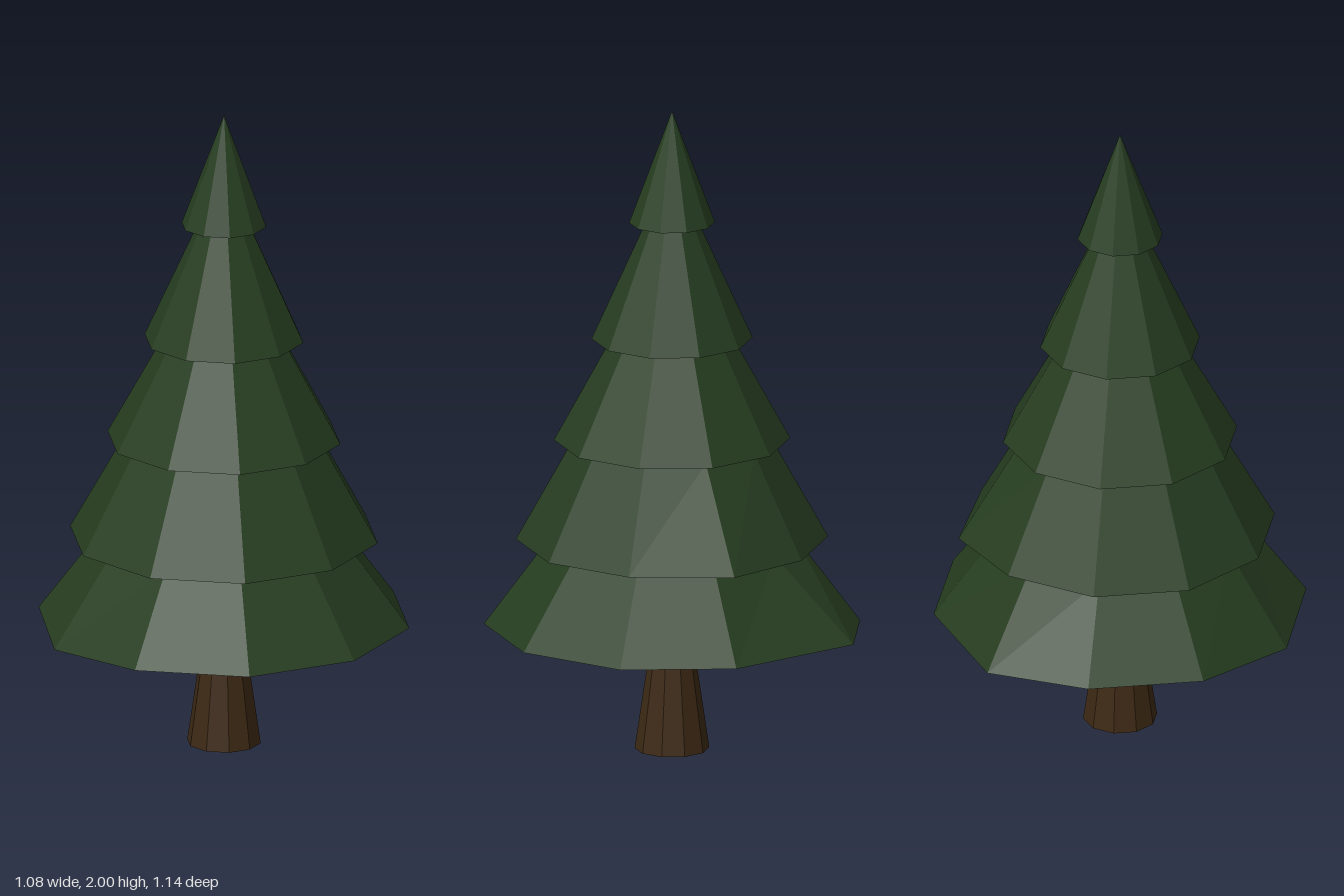
import * as THREE from 'three';

const SIDES = 10;

// Point number i of a ten-sided ring; point 0 faces +z
function ringPoint(i, radius, y) {
  const a = (i / SIDES) * Math.PI * 2;
  return [Math.sin(a) * radius, y, Math.cos(a) * radius];
}

// Flat-based skirt: sloping sides plus an underside fanned from the back point
function tierGeometry({ y, r, topY, topR, nudges = {} }) {
  const low = [], high = [], pos = [];
  for (let i = 0; i < SIDES; i++) {
    const d = nudges[i] || [0, 0, 0];
    low.push(ringPoint(i, r, y).map((v, k) => v + d[k]));
    high.push(ringPoint(i, topR, topY));
  }
  const root = SIDES / 2;
  for (let i = 0; i < SIDES; i++) {
    const j = (i + 1) % SIDES;
    pos.push(...low[i], ...low[j], ...high[j]);
    if (topR > 0) pos.push(...low[i], ...high[j], ...high[i]);
    if (i !== root && j !== root) pos.push(...low[root], ...low[j], ...low[i]);
  }
  const g = new THREE.BufferGeometry();
  g.setAttribute('position', new THREE.Float32BufferAttribute(pos, 3));
  g.computeVertexNormals();
  return g;
}

export function createModel() {
  const tree = new THREE.Group();
  tree.name = 'pineTree';
  const green = new THREE.MeshStandardMaterial({ color: 0x263d20, flatShading: true });
  const brown = new THREE.MeshStandardMaterial({ color: 0x3d2914, flatShading: true });

  // Tapered trunk
  const trunk = new THREE.Mesh(new THREE.CylinderGeometry(0.055, 0.113, 0.4, SIDES), brown);
  trunk.position.y = 0.2;
  trunk.name = 'trunk';
  tree.add(trunk);

  // Branch tiers from bottom to top, a few rim points pulled out of line
  const tiers = [
    { y: 0.395, r: 0.57, topY: 0.66, topR: 0.373,
      nudges: { 6: [-0.08, 0.01, -0.005], 9: [0, -0.02, 0] } },
    { y: 0.66, r: 0.473, topY: 0.97, topR: 0.3, nudges: { 5: [-0.02, 0, -0.024] } },
    { y: 0.97, r: 0.358, topY: 1.287, topR: 0.184 },
    { y: 1.287, r: 0.244, topY: 1.65, topR: 0.08 },
    { y: 1.65, r: 0.13, topY: 2, topR: 0 },
  ];
  tiers.forEach((tier, i) => {
    const mesh = new THREE.Mesh(tierGeometry(tier), green);
    mesh.name = `branchTier${i + 1}`;
    tree.add(mesh);
  });
  return tree;
}
